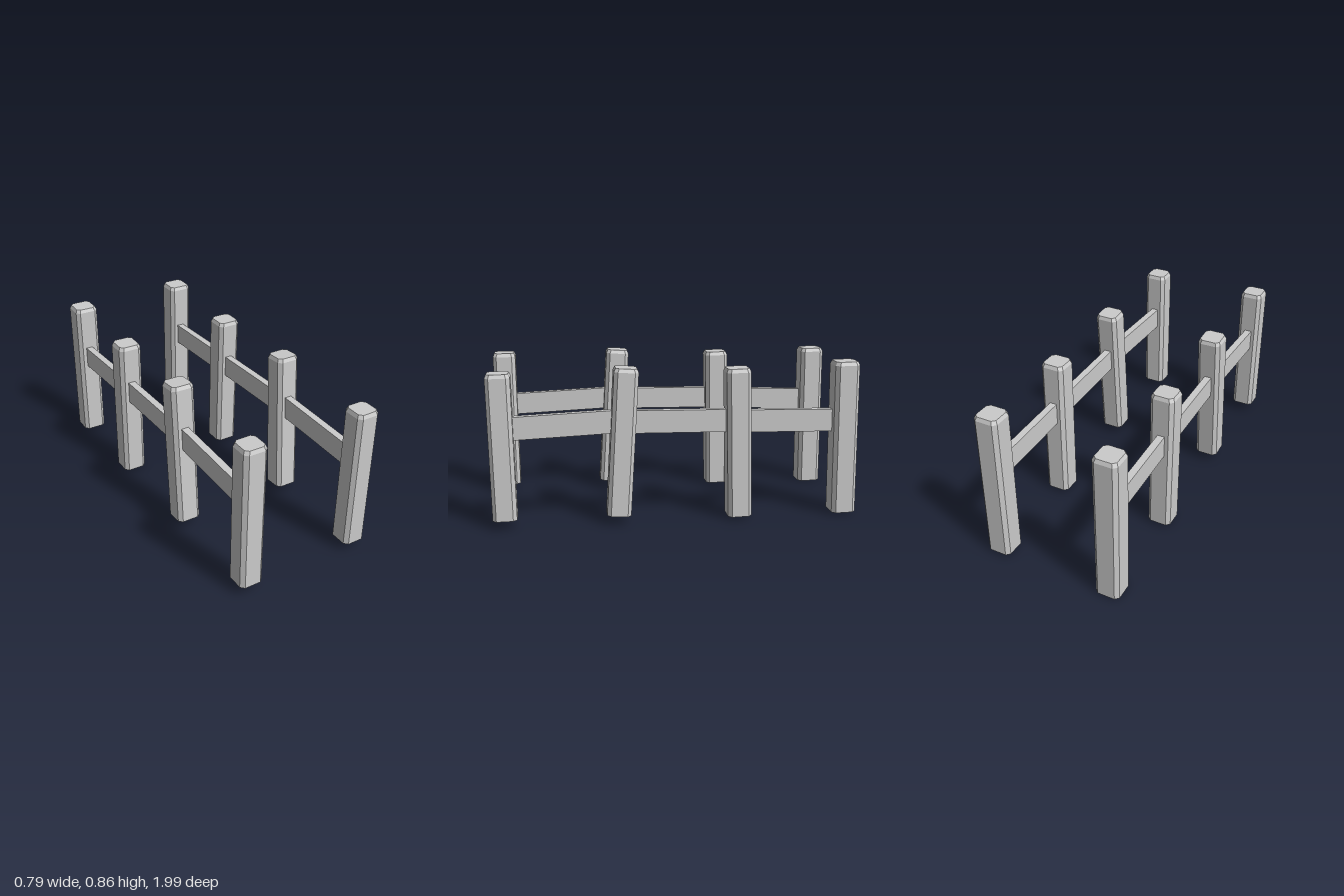
import * as THREE from 'three';

const mat = new THREE.MeshStandardMaterial({ color: 0xcccccc, flatShading: true });

// Square post with chamfered corners, a sharp base and a bevelled top; base at the origin
function postGeometry(w, len) {
  const h = w / 2, c = 0.02;
  const shape = new THREE.Shape([
    [h - c, -h], [h, -h + c], [h, h - c], [h - c, h],
    [-h + c, h], [-h, h - c], [-h, -h + c], [-h + c, -h],
  ].map(([x, y]) => new THREE.Vector2(x, y)));
  const geo = new THREE.ExtrudeGeometry(shape, { depth: len, steps: 2, bevelEnabled: false });
  geo.rotateX(-Math.PI / 2);
  const p = geo.attributes.position;
  for (let i = 0; i < p.count; i++) {
    const y = p.getY(i);
    if (y > len * 0.75) p.setXYZ(i, p.getX(i) * 0.87, len, p.getZ(i) * 0.87);
    else if (y > len * 0.25) p.setY(i, len - 0.02);
  }
  geo.computeVertexNormals();
  return geo;
}

// Post leaning from (y0, z0) at the base to (y1, z1) at the top
function addPost(group, name, x, [w, y0, z0, y1, z1]) {
  const tilt = Math.atan2(z1 - z0, y1 - y0);
  const lift = Math.abs(Math.sin(tilt)) * w / 2;
  const len = Math.hypot(y1 - y0 - 2 * lift, z1 - z0);
  const post = new THREE.Mesh(postGeometry(w, len), mat);
  post.name = name;
  post.position.set(x, y0 + lift, z0);
  post.rotation.x = tilt;
  group.add(post);
}

// Flat rail running between two points in the row
function addRail(group, name, x, [z0, y0, z1, y1]) {
  const len = Math.hypot(z1 - z0, y1 - y0);
  const rail = new THREE.Mesh(new THREE.BoxGeometry(0.04, 0.123, len), mat);
  rail.name = name;
  rail.position.set(x, (y0 + y1) / 2, (z0 + z1) / 2);
  rail.rotation.x = Math.atan2(y1 - y0, z0 - z1);
  group.add(rail);
}

export function createModel() {
  const model = new THREE.Group();
  model.name = 'postAndRailFences';

  const rows = [
    {
      name: 'left', x: 0.325, railX: 0.318,
      // width, base y, base z, top y, top z (front to back)
      posts: [
        [0.128, 0.05, 0.926, 0.832, 0.932],
        [0.13, 0.045, 0.322, 0.85, 0.273],
        [0.132, 0.015, -0.34, 0.834, -0.32],
        [0.135, 0.012, -0.928, 0.858, -0.914],
      ],
      backRailY: 0.53,
    },
    {
      name: 'right', x: -0.327, railX: -0.332,
      posts: [
        [0.128, 0.055, 0.932, 0.845, 0.932],
        [0.13, 0.048, 0.322, 0.857, 0.268],
        [0.132, 0.012, -0.338, 0.832, -0.326],
        [0.135, 0, -0.93, 0.842, -0.922],
      ],
      backRailY: 0.52,
    },
  ];

  for (const row of rows) {
    const fence = new THREE.Group();
    fence.name = row.name + 'Fence';
    row.posts.forEach((p, i) => addPost(fence, `${row.name}Post${i + 1}`, row.x, p));
    // Three rails, sagging slightly towards the back
    const rails = [
      [0.92, 0.536, 0.3, 0.561],
      [0.3, 0.556, -0.32, 0.546],
      [-0.33, 0.542, -0.91, row.backRailY],
    ];
    rails.forEach((r, i) => addRail(fence, `${row.name}Rail${i + 1}`, row.railX, r));
    model.add(fence);
  }
  return model;
}
